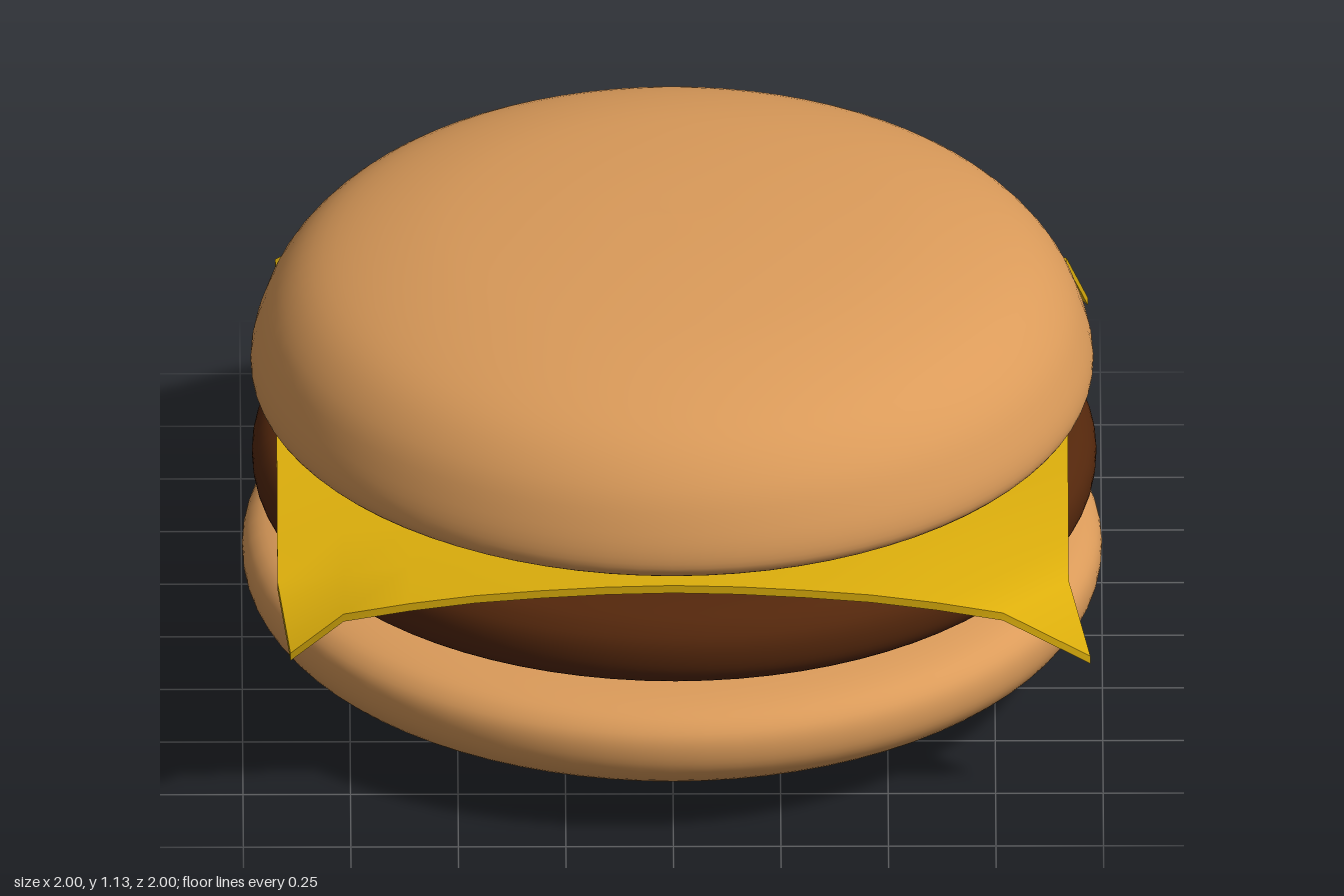
import * as THREE from 'three';

const BUN = 0xdb9b5a, PATTY = 0x54270c, CHEESE = 0xdcae0c;

function part(name, geometry, color) {
  const mesh = new THREE.Mesh(geometry, new THREE.MeshStandardMaterial({ color }));
  mesh.name = name;
  return mesh;
}

// Round layer turned from a smooth profile of [radius, height], bottom to top
function roundLayer(name, profile, color) {
  const curve = new THREE.SplineCurve(profile.map(([r, y]) => new THREE.Vector2(r, y)));
  const points = curve.getPoints(48);
  points.forEach((p) => { p.x = Math.max(0, p.x); });
  return part(name, new THREE.LatheGeometry(points, 80), color);
}

// Thin square slice: flat in the middle, corners folding down
function cheeseSlice() {
  const half = 0.92, top = 0.655, thickness = 0.02;
  const bend = [[0, 0], [0.17, 0.004], [0.42, 0.018], [0.6, 0.036], [0.835, 0.075]];
  const corner = (u, v) => (u > 0
    ? { x: 0.97, z: v > 0 ? 0.84 : -0.8, drop: v > 0 ? 0.235 : 0.2 }
    : { x: -0.89, z: v > 0 ? 0.9 : -0.88, drop: 0.19 });
  const geometry = new THREE.BoxGeometry(2, 2, 2, 12, 1, 12);
  const pos = geometry.attributes.position;
  for (let i = 0; i < pos.count; i++) {
    const u = pos.getX(i), v = pos.getZ(i), w = Math.abs(u * v);
    const c = corner(u, v);
    // Height lost is read from the bend by nearness to a corner
    const steps = [...bend, [1, c.drop]];
    const k = Math.max(1, steps.findIndex(([s]) => w <= s + 1e-6));
    const [w0, d0] = steps[k - 1], [w1, d1] = steps[k];
    const drop = d0 + (d1 - d0) * (w - w0) / (w1 - w0);
    const pull = Math.max(0, (w - 0.835) / 0.165);
    pos.setXYZ(i,
      THREE.MathUtils.lerp(u * half, c.x, pull),
      top - drop - (pos.getY(i) < 0 ? thickness : 0),
      THREE.MathUtils.lerp(v * half, c.z, pull));
  }
  geometry.computeVertexNormals();
  return part('cheeseSlice', geometry, CHEESE);
}

export function createModel() {
  const model = new THREE.Group();
  model.name = 'burger';

  const bottomBun = roundLayer('bottomBun', [
    [0, 0.004], [0.3, 0.013], [0.6, 0.04], [0.8, 0.08], [0.93, 0.138], [0.985, 0.19], [1, 0.25],
    [0.985, 0.3], [0.93, 0.334], [0.8, 0.35], [0.5, 0.358], [0, 0.362]], BUN);

  const patty = roundLayer('patty', [
    [0, 0.372], [0.5, 0.375], [0.8, 0.385], [0.92, 0.402], [0.968, 0.44], [0.982, 0.5],
    [0.968, 0.55], [0.92, 0.588], [0.8, 0.608], [0.5, 0.617], [0, 0.62]], PATTY);
  patty.position.x = 0.005;

  const topBun = roundLayer('topBun', [
    [0, 0.665], [0.5, 0.668], [0.8, 0.675], [0.92, 0.688], [0.968, 0.71], [0.98, 0.75],
    [0.965, 0.82], [0.925, 0.91], [0.85, 0.99], [0.74, 1.045], [0.58, 1.088], [0.4, 1.112],
    [0.2, 1.126], [0, 1.13]], BUN);

  model.add(bottomBun, patty, cheeseSlice(), topBun);
  return model;
}
